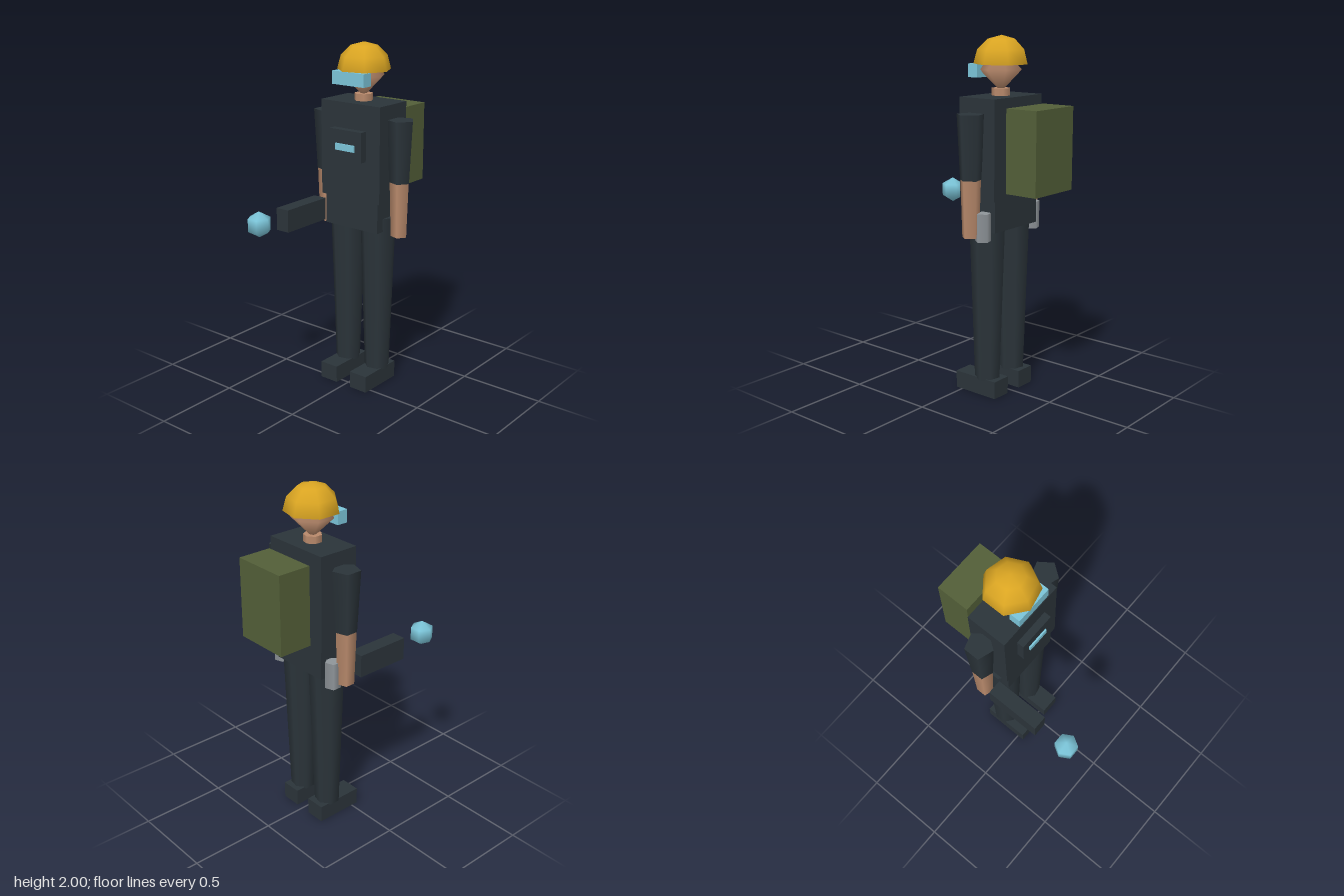
import * as THREE from 'three';

const material = (name, color, extra = {}) => {
  const m = new THREE.MeshStandardMaterial({ color, ...extra });
  m.name = name;
  return m;
};

export function createModel() {
  const model = new THREE.Group();
  model.name = 'worker';
  const dark = material('dark fabric', 0x2b343a);
  const skin = material('skin', 0xb98a6c);
  const gold = material('helmet yellow', 0xdaa522, { side: THREE.DoubleSide });
  const cyan = material('light cyan', 0x7cc6da);
  const olive = material('olive canvas', 0x535f38);
  const grey = material('grey metal', 0x8f959a);

  // Body axis
  const CX = -0.005, CZ = -0.142;

  const add = (name, geometry, mat, x, y, z) => {
    const mesh = new THREE.Mesh(geometry, mat);
    mesh.name = name;
    mesh.position.set(x, y, z);
    model.add(mesh);
    return mesh;
  };
  // Box given by its extents
  const box = (name, mat, x0, x1, y0, y1, z0, z1) =>
    add(name, new THREE.BoxGeometry(x1 - x0, y1 - y0, z1 - z0), mat,
      (x0 + x1) / 2, (y0 + y1) / 2, (z0 + z1) / 2);
  // Upright tapered prism with one corner pointing to +x
  const limb = (name, mat, sides, rTop, rBottom, y0, y1, x, z = CZ) =>
    add(name, new THREE.CylinderGeometry(rTop, rBottom, y1 - y0, sides).rotateY(Math.PI / 2),
      mat, x, (y0 + y1) / 2, z);

  // Trunk
  box('torso', dark, CX - 0.205, CX + 0.205, 1.135, 1.68, -0.262, -0.022);
  box('hips', dark, CX - 0.184, CX + 0.184, 0.96, 1.14, -0.25, -0.034);
  box('chestUnit', dark, CX - 0.11, CX + 0.11, 1.365, 1.535, -0.03, 0.02);
  box('chestScreen', cyan, CX - 0.066, CX + 0.066, 1.42, 1.457, 0.02, 0.03);
  box('backpack', olive, -0.17, 0.157, 1.18, 1.633, -0.502, -0.306);

  // Head, neck, helmet and goggles
  limb('neck', skin, 7, 0.052, 0.052, 1.67, 1.72, CX);
  add('head', new THREE.SphereGeometry(0.12, 7, 2).rotateY(Math.PI), skin, CX, 1.82, CZ);
  add('helmet', new THREE.SphereGeometry(0.153, 7, 3, 0, Math.PI * 2, 0, Math.PI / 2)
    .rotateY(Math.PI), gold, CX, 1.849, CZ - 0.003);
  box('goggles', cyan, CX - 0.11, CX + 0.11, 1.777, 1.85, -0.065, 0);

  // Limbs on both sides
  for (const [side, s] of [['left', 1], ['right', -1]]) {
    const legX = CX + s * 0.109, armX = CX - 0.002 + s * 0.26;
    limb(side + 'Leg', dark, 7, 0.104, 0.073, 0.09, 1.035, legX);
    box(side + 'Boot', dark, legX - 0.059, legX + 0.059, 0, 0.1, -0.24, 0.042);
    limb(side + 'Sleeve', dark, 5, 0.078, 0.06, 1.25, 1.6, armX);
    limb(side + 'Forearm', skin, 5, 0.058, 0.048, 0.937, 1.25, armX);
    limb(side + 'HipCanister', grey, 5, 0.045, 0.045, 0.915, 1.07, CX + s * 0.218, -0.195);
  }

  // Hand tool with its glowing tip
  box('handTool', dark, -0.31, -0.225, 0.96, 1.09, -0.068, 0.258);
  add('toolOrb', new THREE.SphereGeometry(0.074, 6, 3), cyan, -0.268, 1.048, 0.444);

  return model;
}
